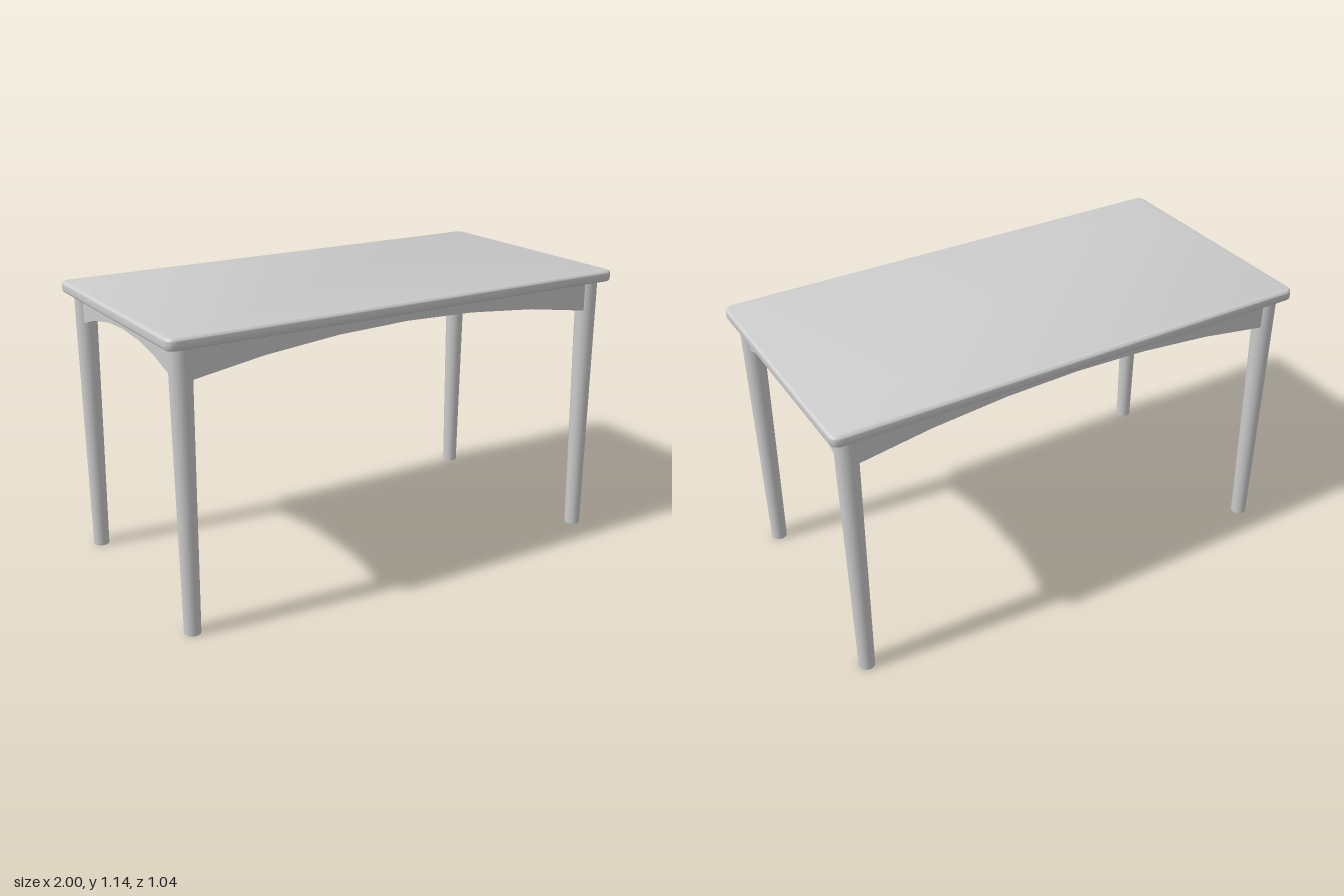
import * as THREE from 'three';
import { toCreasedNormals } from 'three/addons/utils/BufferGeometryUtils.js';

const material = new THREE.MeshStandardMaterial({ color: 0xcccccc });
const TOP_Y = 1.14, UNDER_Y = 1.095;

function addMesh(parent, name, geometry) {
  const mesh = new THREE.Mesh(geometry, material);
  mesh.name = name;
  parent.add(mesh);
  return mesh;
}

// Slab with rounded corners and softened edges
function tabletopGeometry() {
  const b = 0.012, w = 1 - b, d = 0.52 - b, r = 0.022;
  const s = new THREE.Shape();
  s.absarc(w - r, d - r, r, 0, Math.PI / 2);
  s.absarc(-w + r, d - r, r, Math.PI / 2, Math.PI);
  s.absarc(-w + r, -d + r, r, Math.PI, Math.PI * 1.5);
  s.absarc(w - r, -d + r, r, Math.PI * 1.5, Math.PI * 2);
  const g = new THREE.ExtrudeGeometry(s, {
    depth: TOP_Y - UNDER_Y - 2 * b, bevelThickness: b, bevelSize: b, bevelSegments: 4, curveSegments: 6,
  });
  g.rotateX(-Math.PI / 2).translate(0, UNDER_Y + b, 0);
  return toCreasedNormals(g, 0.7);
}

// Tapered round leg whose foot is set slightly off its top
function legGeometry(sx, sz) {
  const g = new THREE.CylinderGeometry(0.0435, 0.032, UNDER_Y, 24, 1);
  g.translate(0, UNDER_Y / 2, 0);
  const p = g.attributes.position;
  for (let i = 0; i < p.count; i++) {
    const t = p.getY(i) / UNDER_Y;
    p.setX(i, p.getX(i) + sx * (0.927 - 0.002 * t));
    p.setZ(i, p.getZ(i) + sz * (0.451 - 0.007 * t));
  }
  return g;
}

// Rail with an arched lower edge, running along x
function apronGeometry(half, midY, drop, thickness) {
  const s = new THREE.Shape();
  s.moveTo(half, UNDER_Y + 0.003);
  s.lineTo(-half, UNDER_Y + 0.003);
  for (const t of [-1, -0.67, -0.335, 0, 0.335, 0.67, 1]) s.lineTo(half * t, midY - drop * t * t);
  s.closePath();
  const g = new THREE.ExtrudeGeometry(s, { depth: thickness, bevelEnabled: false });
  g.translate(0, 0, -thickness / 2);
  return toCreasedNormals(g, 0.6);
}

export function createModel() {
  const table = new THREE.Group();
  table.name = 'table';
  addMesh(table, 'tabletop', tabletopGeometry());

  for (const sx of [-1, 1]) for (const sz of [-1, 1]) {
    addMesh(table, `${sz > 0 ? 'front' : 'back'}${sx > 0 ? 'Left' : 'Right'}Leg`, legGeometry(sx, sz));
  }

  // Aprons between the legs
  const longApron = apronGeometry(0.91, 1.055, 0.085, 0.045);
  const shortApron = apronGeometry(0.43, 1.052, 0.077, 0.045);
  for (const s of [-1, 1]) {
    addMesh(table, s > 0 ? 'frontApron' : 'backApron', longApron).position.z = s * 0.449;
    const side = addMesh(table, s > 0 ? 'leftApron' : 'rightApron', shortApron);
    side.position.x = s * 0.927;
    side.rotation.y = Math.PI / 2;
  }
  return table;
}
